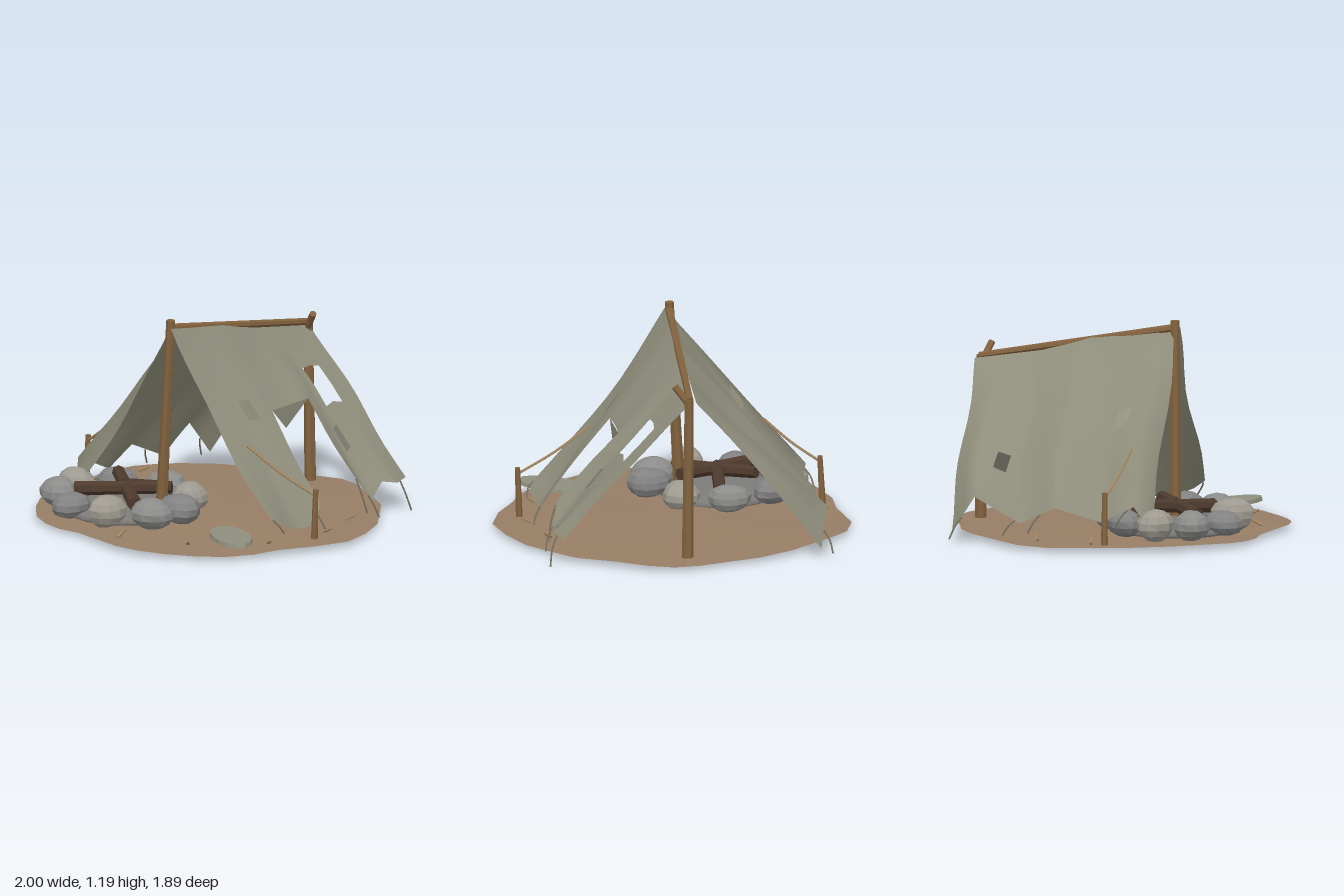
import * as THREE from 'three';

const V = (x, y, z) => new THREE.Vector3(x, y, z);
const mat = (color, opts = {}) => new THREE.MeshStandardMaterial({ color, ...opts });
const flat = { flatShading: true }, thin = { side: THREE.DoubleSide };

export function createModel() {
  const model = new THREE.Group();
  const wood = mat(0x82623e, flat), charred = mat(0x4e3a2d, flat), twigMat = mat(0xa08560, flat);
  const strandMat = mat(0x7a7664), clothMat = mat(0x8f8d7b, thin);
  const stones = [0x828282, 0x8c8c8a, 0x9e9a90].map(c => mat(c, flat));

  function add(name, geo, material) {
    const m = new THREE.Mesh(geo, material);
    m.name = name;
    model.add(m);
    return m;
  }
  // Tapered rod between two points
  function rod(name, a, b, r0, r1, material = wood, sides = 7) {
    const m = add(name, new THREE.CylinderGeometry(r1, r0, a.distanceTo(b), sides), material);
    m.position.copy(a).add(b).multiplyScalar(0.5);
    m.quaternion.setFromUnitVectors(V(0, 1, 0), b.clone().sub(a).normalize());
  }
  const cord = (name, pts, r, material) =>
    add(name, new THREE.TubeGeometry(new THREE.CatmullRomCurve3(pts), 8, r, 5), material);
  // Grid surface from a rule f(i, j), with optional skipped cells
  function grid(ni, nj, f, skip = () => false) {
    const pos = [], idx = [];
    for (let i = 0; i < ni; i++) for (let j = 0; j < nj; j++) pos.push(...f(i, j).toArray());
    for (let i = 0; i < ni - 1; i++) for (let j = 0; j < nj - 1; j++) {
      if (skip(i, j)) continue;
      const a = i * nj + j, b = a + nj;
      idx.push(a, b, a + 1, b, b + 1, a + 1);
    }
    const g = new THREE.BufferGeometry();
    g.setAttribute('position', new THREE.Float32BufferAttribute(pos, 3));
    g.setIndex(idx);
    g.computeVertexNormals();
    return g;
  }
  // Piecewise linear lookup of column c in rows [z, ...] with falling z
  function lookup(rows, z, c) {
    const i = Math.max(1, rows.findIndex(r => r[0] <= z));
    const p = rows[i - 1], q = rows[i];
    return p[c] + (q[c] - p[c]) * (p[0] - z) / (p[0] - q[0]);
  }

  // Earth patch, gently domed
  const outline = [[0.1, -0.95], [0.25, -0.91], [0.4, -0.82], [0.62, -0.7], [0.75, -0.54], [0.86, -0.4],
    [0.95, -0.2], [1, 0], [0.94, 0.2], [0.83, 0.4], [0.78, 0.55], [0.68, 0.68], [0.55, 0.78], [0.4, 0.87],
    [0.25, 0.93], [0.1, 0.945], [-0.1, 0.9], [-0.25, 0.86], [-0.4, 0.86], [-0.53, 0.83], [-0.65, 0.77],
    [-0.78, 0.63], [-0.88, 0.48], [-0.95, 0.25], [-0.95, 0.08], [-1, -0.2], [-0.95, -0.38], [-0.87, -0.48],
    [-0.78, -0.57], [-0.6, -0.72], [-0.4, -0.82], [-0.2, -0.87], [-0.05, -0.92]];
  const n = outline.length;
  add('ground', grid(7, n + 1, (i, j) => {
    const [x, z] = outline[j % n], r = i / 6;
    return V(x * r, 0.078 - 0.028 * r * r + 0.006 * Math.sin(j / n * Math.PI * 10) * r, z * r);
  }), mat(0x967d65, thin));

  // Poles and ridge
  rod('frontPole', V(-0.1, 0.06, 0.34), V(-0.04, 1.21, 0.325), 0.034, 0.026);
  rod('backPole', V(0.005, 0.06, -0.795), V(-0.005, 0.98, -0.79), 0.034, 0.026);
  rod('backPoleFork', V(-0.01, 0.94, -0.785), V(0.07, 1.045, -0.745), 0.02, 0.02);
  rod('ridgePole', V(-0.04, 1.17, 0.34), V(-0.01, 0.975, -0.8), 0.024, 0.02);

  // Canvas sheets: ridge heights [z, y] and ragged hems [z, y, x]
  const top = [[0.34, 1.17], [-0.12, 1.11], [-0.4, 1.025], [-0.81, 0.965]];
  const hems = {
    1: [[0.34, 0.2, 0.72], [0.27, 0.15, 0.755], [0.15, 0.1, 0.72], [0.03, 0.1, 0.75], [-0.08, 0.2, 0.72],
      [-0.39, 0.29, 0.69], [-0.49, 0.14, 0.73], [-0.6, 0.22, 0.71], [-0.69, 0.2, 0.745], [-0.81, 0.2, 0.7]],
    '-1': [[0.33, 0.1, -0.74], [0.24, 0.26, -0.8], [0.04, 0.16, -0.75], [-0.21, 0.24, -0.8],
      [-0.42, 0.14, -0.75], [-0.67, 0.29, -0.8], [-0.81, 0.08, -0.75]],
  };
  function cloth(side, u, z, lift = 0) {
    const y0 = lookup(top, z, 1), y1 = lookup(hems[side], z, 1), x1 = lookup(hems[side], z, 2);
    const x0 = -0.03 + side * 0.012;
    // Sheets belly out along the middle and sag in towards the open front
    const front = Math.max(0, z / 0.33);
    const bulge = lift + Math.sin(Math.PI * u) * (0.008 + 0.012 * Math.sin(z * 13 + side) - 0.04 * front * front);
    return V(x0 + (x1 - x0) * u + side * bulge * 0.75, y0 + (y1 - y0) * u + bulge * 0.66,
      z + 0.012 * Math.sin(u * 9 + side));
  }
  const us = [0, 0.09, 0.18, 0.26, 0.38, 0.49, 0.6, 0.7, 0.8, 0.9, 1];
  for (const side of [1, -1]) {
    const zs = [...new Set([...hems[side].map(k => k[0]), 0.1, -0.03, -0.15, -0.25, -0.32, -0.46, -0.53, -0.67, -0.75])]
      .sort((a, b) => b - a);
    // The left sheet has a square hole and a tear open to the hem
    const torn = (i, j) => {
      const u = (us[i] + us[i + 1]) / 2, z = (zs[j] + zs[j + 1]) / 2;
      return side > 0 && ((u > 0.49 && z < -0.08 && z > -0.39) || (u > 0.26 && u < 0.49 && z < -0.53 && z > -0.67));
    };
    add(side > 0 ? 'leftCanvas' : 'rightCanvas', grid(us.length, zs.length, (i, j) => cloth(side, us[i], zs[j]), torn), clothMat);
  }
  // Flap hanging straight down in the tear
  const a = cloth(1, 0.49, -0.08), b = cloth(1, 0.49, -0.39);
  const flap = new THREE.BufferGeometry().setFromPoints([a, V((a.x + b.x) / 2, 0.545, -0.21), b]);
  flap.computeVertexNormals();
  add('tornFlap', flap, clothMat);
  // Patches lying just off the cloth
  for (const [side, u0, u1, z0, z1, color] of [[1, 0.38, 0.48, 0.13, 0.06, 0x858371], [1, 0.6, 0.74, -0.49, -0.53, 0x77766a],
    [-1, 0.42, 0.52, 0.15, 0.07, 0x97947f], [-1, 0.64, 0.75, -0.5, -0.57, 0x55544a]]) {
    add('patch', grid(4, 4, (i, j) => cloth(side, u0 + (u1 - u0) * i / 3, z0 + (z1 - z0) * j / 3 - i * 0.006, 0.006)),
      mat(color, thin));
  }
  // Loose strands at the hems
  for (const [side, z, drop] of [[1, -0.03, 0.13], [1, -0.4, 0.2], [1, -0.47, 0.13], [1, -0.73, 0.17], [1, 0.33, 0.08],
    [-1, -0.75, 0.12], [-1, -0.45, 0.08], [-1, -0.3, 0.1], [-1, 0.2, 0.1]]) {
    const p = cloth(side, 1, z), end = Math.max(0.006, p.y - drop);
    cord('strand', [p, V(p.x + side * 0.03, (p.y + end) / 2 + 0.01, z - 0.02), V(p.x + side * 0.045, end, z - 0.05)], 0.005, strandMat);
  }

  // Guy stakes and lines
  for (const side of [1, -1]) {
    const x = side > 0 ? 0.84 : -0.865;
    rod('guyStake', V(x - (side > 0 ? 0.005 : 0.01), 0.05, 0.1), V(x + 0.005, 0.345, 0.1), 0.02, 0.015);
    const end = cloth(side, side > 0 ? 0.59 : 0.67, 0.2, 0.008);
    const start = V(x, 0.31, 0.1);
    const mid = start.clone().lerp(end, 0.5);
    mid.y -= 0.015;
    cord('guyLine', [start, mid, end], 0.008, twigMat);
  }

  // Fire ring: ash bed, stones [x, z, half length, half width, half height, turn] and crossed logs
  const ash = add('ashBed', new THREE.SphereGeometry(1, 20, 8), mat(0x7c7b79));
  ash.scale.set(0.35, 0.045, 0.35);
  ash.position.set(-0.33, 0.085, 0.39);
  [[0.07, 0.375, 0.13, 0.1, 0.085, 0.1], [0.02, 0.55, 0.135, 0.115, 0.085, -0.2], [-0.19, 0.69, 0.095, 0.125, 0.092, 0],
    [-0.465, 0.69, 0.095, 0.12, 0.075, -0.3], [-0.675, 0.555, 0.115, 0.1, 0.085, 0], [-0.715, 0.36, 0.125, 0.1, 0.088, -0.2],
    [-0.6, 0.15, 0.115, 0.1, 0.08, 0.7], [-0.34, 0.03, 0.12, 0.1, 0.08, 0], [-0.08, 0.12, 0.115, 0.1, 0.08, -0.7],
  ].forEach(([x, z, sx, sz, sy, turn], i) => {
    const geo = new THREE.SphereGeometry(1, 10, 7), p = geo.attributes.position, k = i * 1.7;
    for (let j = 0; j < p.count; j++) {
      const v = V(0, 0, 0).fromBufferAttribute(p, j);
      v.multiplyScalar(1 + 0.04 * Math.sin(v.x * 4 + k) + 0.04 * Math.sin(v.z * 3 + v.y * 3 - k));
      p.setXYZ(j, v.x, v.y, v.z);
    }
    geo.computeVertexNormals();
    const stone = add('fireStone', geo, stones[i % 3]);
    stone.scale.set(sx, sy, sz);
    stone.rotation.y = turn;
    stone.position.set(x, 0.06 + sy, z);
  });
  rod('fireLog', V(-0.55, 0.19, 0.56), V(-0.09, 0.22, 0.26), 0.042, 0.036, charred);
  rod('fireLog', V(-0.1, 0.18, 0.56), V(-0.52, 0.225, 0.23), 0.042, 0.036, charred);
  rod('fireLog', V(-0.32, 0.22, 0.4), V(-0.3, 0.16, 0.14), 0.038, 0.034, charred);

  // Flat oval slab beside the fire
  const slab = add('flatSlab', new THREE.CylinderGeometry(0.96, 1, 0.022, 14), mat(0x8f8f7e, flat));
  slab.scale.set(0.225, 1, 0.11);
  slab.rotation.set(0, -0.58, 0.02);
  slab.position.set(0.58, 0.108, 0.515);

  // Scattered twigs
  for (const [x, z, turn] of [[0.81, -0.035, 0.1], [0.73, -0.32, 0.5], [0.4, 0.68, -1], [0, 0.79, 1.57], [-0.87, 0.03, 0],
    [0.73, 0.36, -0.4], [-0.8, -0.3, 0.3]]) {
    const dx = 0.03 * Math.cos(turn), dz = -0.03 * Math.sin(turn);
    rod('twig', V(x - dx, 0.06, z - dz), V(x + dx, 0.09, z + dz), 0.01, 0.008, twigMat, 5);
  }
  return model;
}
